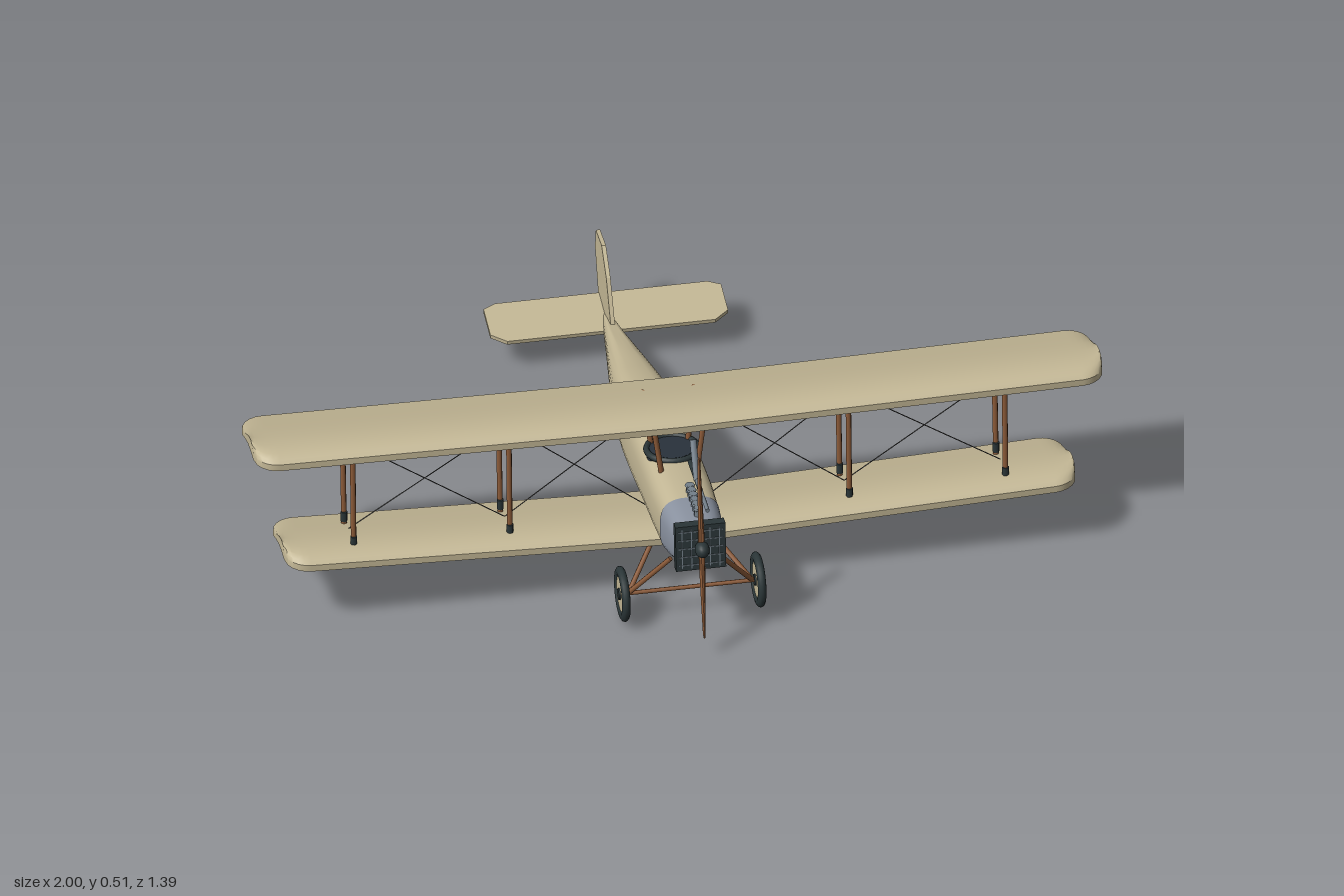
import * as THREE from 'three';
import { toCreasedNormals } from 'three/addons/utils/BufferGeometryUtils.js';

const mat = (name, color, side = THREE.FrontSide) => {
  const m = new THREE.MeshStandardMaterial({ color, side });
  m.name = name;
  return m;
};
const V = (x, y, z) => new THREE.Vector3(x, y, z);

// Skin between closed rings of points, with fan caps; always faces outward
function loft(rings, crease = 0.7) {
  const n = rings[0].length, tris = [];
  for (let i = 0; i < rings.length - 1; i++) {
    for (let j = 0; j < n; j++) {
      const k = (j + 1) % n, [p, q] = [rings[i], rings[i + 1]];
      tris.push([p[j], p[k], q[k]], [p[j], q[k], q[j]]);
    }
  }
  const cap = (ring, flip) => {
    const c = ring.reduce((s, p) => s.add(p), V(0, 0, 0)).divideScalar(n);
    ring.forEach((p, j) => {
      const q = ring[(j + 1) % n];
      tris.push(flip ? [c, q, p] : [c, p, q]);
    });
  };
  cap(rings[0], true);
  cap(rings[rings.length - 1], false);
  let volume = 0;
  for (const [a, b, c] of tris) volume += a.dot(b.clone().cross(c));
  if (volume < 0) tris.forEach((t) => t.reverse());
  const g = new THREE.BufferGeometry().setFromPoints(tris.flat());
  g.computeVertexNormals();
  return toCreasedNormals(g, crease);
}

// Rounded-box body sections: [z, bottom, top, half width]
const bodyRings = (sections) => sections.map(([z, lo, hi, w]) =>
  Array.from({ length: 32 }, (_, i) => {
    const a = (i / 32) * Math.PI * 2, c = Math.cos(a), s = Math.sin(a), e = 0.64;
    return V(w * Math.sign(c) * Math.abs(c) ** e,
      (lo + hi) / 2 + ((hi - lo) / 2) * Math.sign(s) * Math.abs(s) ** e, z);
  }));

// Cambered wing with dihedral and rounded tips
function wingGeometry(half, front, chord, lift, dihedral) {
  const foil = [[0, 0.446], [0, 0.463], [0.04, 0.471], [0.1, 0.477], [0.22, 0.479], [0.4, 0.472], [0.6, 0.458],
    [0.8, 0.441], [1, 0.424], [1, 0.416], [0.75, 0.431], [0.5, 0.443], [0.25, 0.447]];
  const r = 0.055, stations = [0];
  for (const d of [r, 0.04, 0.026, 0.014, 0.005, 0]) {
    stations.push(half - d);
    stations.unshift(d - half);
  }
  return loft(stations.map((x) => {
    const d = Math.min(r, half - Math.abs(x));
    const inset = r - Math.sqrt(r * r - (r - d) ** 2);
    const y0 = lift - dihedral * (1 - Math.abs(x) / half);
    return foil.map(([t, y]) => V(x, y + y0, front - inset - t * (chord - 2 * inset)));
  }), 0.6);
}

// Flat plate from an outline, extruded and centred on its thickness
function plate(points, depth) {
  const shape = new THREE.Shape(points.map(([x, y]) => new THREE.Vector2(x, y)));
  return new THREE.ExtrudeGeometry(shape, { depth, bevelEnabled: false }).translate(0, 0, -depth / 2);
}

export function createModel() {
  const group = new THREE.Group();
  group.name = 'biplane';
  const fabric = mat('cream fabric', 0xc4b896);
  const cowlGrey = mat('cowl blue grey', 0x8a92a0);
  const wood = mat('brown wood', 0x8b5a38);
  const dark = mat('dark metal', 0x2b3638);
  const steel = mat('steel', 0x74808a);
  const wire = mat('wire', 0x4a4a48);
  const interior = mat('cockpit interior', 0x2a333d);

  const add = (name, geo, material, pos = [0, 0, 0], rot = [0, 0, 0], parent = group) => {
    const m = new THREE.Mesh(geo, material);
    m.name = name;
    m.position.set(...pos);
    m.rotation.set(...rot);
    parent.add(m);
    return m;
  };
  const rod = (name, a, b, r, material, sides = 8) => {
    const p = V(...a), q = V(...b), d = q.clone().sub(p);
    const m = add(name, new THREE.CylinderGeometry(r, r, d.length(), sides), material);
    m.position.copy(p).add(q).multiplyScalar(0.5);
    m.quaternion.setFromUnitVectors(V(0, 1, 0), d.normalize());
    return m;
  };

  // Body and engine cowl
  add('fuselage', loft(bodyRings([
    [0.5, 0.167, 0.322, 0.07], [0.4, 0.152, 0.315, 0.073], [0.27, 0.128, 0.299, 0.073], [0.13, 0.097, 0.281, 0.073],
    [0, 0.07, 0.264, 0.071], [-0.1, 0.056, 0.239, 0.066], [-0.2, 0.051, 0.206, 0.057], [-0.32, 0.05, 0.169, 0.042],
    [-0.45, 0.05, 0.13, 0.025], [-0.55, 0.051, 0.102, 0.013], [-0.61, 0.054, 0.086, 0.006]])), fabric);
  add('engineCowl', loft(bodyRings([
    [0.62, 0.218, 0.327, 0.056], [0.59, 0.203, 0.327, 0.062], [0.55, 0.186, 0.326, 0.067], [0.5, 0.167, 0.323, 0.071]])), cowlGrey);

  // Radiator with thin grille bars
  const radiator = new THREE.Group();
  radiator.name = 'radiator';
  radiator.position.set(0, 0.276, 0.627);
  radiator.rotation.x = -0.09;
  group.add(radiator);
  add('radiatorCore', new THREE.BoxGeometry(0.118, 0.118, 0.024), dark, [0, 0, 0], [0, 0, 0], radiator);
  for (let i = -2; i <= 2; i++) {
    add('grilleBar', new THREE.BoxGeometry(0.002, 0.106, 0.004), steel, [i * 0.022, 0, 0.012], [0, 0, 0], radiator);
    add('grilleBar', new THREE.BoxGeometry(0.106, 0.002, 0.004), steel, [0, i * 0.022, 0.012], [0, 0, 0], radiator);
  }

  // Propeller and hub
  const propeller = new THREE.Group();
  propeller.name = 'propeller';
  propeller.position.set(0, 0.282, 0.649);
  propeller.rotation.x = -0.155;
  group.add(propeller);
  for (const s of [-1, 1]) {
    add('propellerBlade', loft([[0, 0.008, 0.008], [0.06, 0.007, 0.01], [0.15, 0.005, 0.011], [0.22, 0.003, 0.009], [0.232, 0.002, 0.006]]
      .map(([y, w, d]) => Array.from({ length: 10 }, (_, i) => {
        const a = (i / 10) * Math.PI * 2;
        return V(w * Math.cos(a), s * y, d * Math.sin(a));
      }))), wood, [0, 0, 0], [0, 0, 0], propeller);
  }
  add('propellerHub', new THREE.SphereGeometry(0.019, 16, 12).scale(0.9, 1, 1.25), dark, [0, 0, 0.008], [0, 0, 0], propeller);

  // Cylinder row, pipe and exhaust stack on the cowl
  for (let i = 0; i < 6; i++) {
    add('engineCylinder', new THREE.CylinderGeometry(0.009, 0.009, 0.026, 10), steel, [0.004, 0.328 + i * 0.0015, 0.475 + i * 0.021]);
    add('intakeRing', new THREE.TorusGeometry(0.009, 0.003, 6, 12), steel, [0.004, 0.338 + i * 0.0015, 0.475 + i * 0.021], [Math.PI / 2, 0, 0]);
  }
  rod('exhaustManifold', [0.026, 0.332, 0.44], [0.026, 0.34, 0.585], 0.005, steel);
  rod('exhaustStack', [0.026, 0.33, 0.447], [0.026, 0.41, 0.396], 0.008, steel, 12);
  rod('forwardGun', [0.026, 0.322, 0.36], [0.026, 0.332, 0.49], 0.006, dark);

  // Cockpits with padded rims
  for (const [name, z, y, rx, rz] of [['rear', 0.073, 0.275, 0.064, 0.066], ['front', 0.27, 0.3, 0.06, 0.062]]) {
    const tilt = -0.12;
    add(name + 'CockpitWell', new THREE.CylinderGeometry(1, 1, 0.02, 32).scale(rx, 1, rz), interior, [0, y - 0.008, z], [tilt, 0, 0]);
    add(name + 'CockpitRim', new THREE.TorusGeometry(0.064, 0.008, 8, 36).rotateX(Math.PI / 2).scale(rx / 0.064, 1, rz / 0.064),
      dark, [0, y, z], [tilt, 0, 0]);
  }
  // Gun on its post over the rear cockpit
  rod('gunBarrel', [0.02, 0.37, 0.235], [0.02, 0.349, 0.13], 0.004, dark);
  rod('gunBody', [0.02, 0.351, 0.14], [0.02, 0.338, 0.075], 0.007, dark);
  rod('gunPost', [0.02, 0.345, 0.125], [0.02, 0.275, 0.125], 0.005, dark);

  // Wings
  add('upperWing', wingGeometry(1, 0.396, 0.256, 0, 0.015), fabric);
  add('lowerWing', wingGeometry(0.932, 0.421, 0.252, -0.276, 0.035), fabric);

  // Tail surfaces
  add('tailplane', plate([[-0.28, -0.067], [-0.28, 0.04], [-0.245, 0.068], [0.245, 0.068], [0.28, 0.04], [0.28, -0.05],
    [0.25, -0.065], [-0.25, -0.065], [-0.28, -0.05]].slice(1), 0.01), fabric, [0, 0.091, -0.58], [Math.PI / 2 - 0.13, 0, 0])
    .scale.y = 1;
  group.children[group.children.length - 1].rotation.x = -Math.PI / 2 + 0;
  group.children[group.children.length - 1].geometry.rotateX(-0.12).rotateZ(Math.PI).rotateX(0);
  add('fin', plate([[0.49, 0.112], [0.55, 0.21], [0.61, 0.261], [0.685, 0.253], [0.695, 0.2], [0.648, 0.08], [0.6, 0.08]], 0.01),
    fabric, [0, 0, 0], [0, Math.PI / 2, 0]);
  rod('tailSkid', [0, 0.055, -0.495], [0, 0.004, -0.562], 0.004, wood);

  for (const s of [-1, 1]) {
    // Wing struts with dark end fittings
    for (const x of [0.4, 0.768]) {
      const up = 0.015 * x, low = 0.035 * x;
      for (const [zt, yt, zb, yb] of [[0.352, 0.445, 0.367, 0.152], [0.218, 0.43, 0.242, 0.135]]) {
        rod('wingStrut', [s * x, yt + up, zt], [s * x, yb + low, zb], 0.0065, wood);
        rod('strutFitting', [s * x, yt + up - 0.03, zt + 0.0015], [s * x, yt + up - 0.01, zt + 0.0005], 0.008, dark);
        rod('strutFitting', [s * x, yb + low + 0.012, zb], [s * x, yb + low + 0.038, zb], 0.008, dark);
      }
    }
    // Centre struts
    rod('centreStrut', [s * 0.062, 0.45, 0.352], [s * 0.042, 0.3, 0.362], 0.0065, wood);
    rod('centreStrut', [s * 0.062, 0.435, 0.218], [s * 0.042, 0.28, 0.235], 0.0065, wood);
    // Crossed bracing wires
    for (const [a, b] of [[0.065, 0.4], [0.4, 0.768]]) {
      for (const [p, q] of [[a, b], [b, a]]) {
        rod('bracingWire', [s * p, 0.44, 0.3], [s * q, 0.165 + 0.035 * q, 0.3], 0.0013, wire, 5);
      }
    }
    // Landing gear
    rod('gearStrut', [s * 0.055, 0.19, 0.55], [s * 0.145, 0.072, 0.503], 0.006, wood);
    rod('gearStrut', [s * 0.055, 0.155, 0.38], [s * 0.145, 0.072, 0.503], 0.006, wood);
    const wheel = new THREE.Group();
    wheel.name = 'wheel';
    wheel.position.set(s * 0.16, 0.07, 0.503);
    wheel.rotation.z = Math.PI / 2;
    group.add(wheel);
    add('tyre', new THREE.TorusGeometry(0.052, 0.0135, 12, 36).rotateX(Math.PI / 2).scale(1, 0.75, 1), dark, [0, 0, 0], [0, 0, 0], wheel);
    add('wheelDisc', new THREE.CylinderGeometry(0.042, 0.042, 0.012, 32), fabric, [0, 0, 0], [0, 0, 0], wheel);
    add('wheelHub', new THREE.CylinderGeometry(0.014, 0.014, 0.02, 16), dark, [0, 0, 0], [0, 0, 0], wheel);
  }
  rod('axle', [-0.16, 0.07, 0.503], [0.16, 0.07, 0.503], 0.005, wood);
  return group;
}
